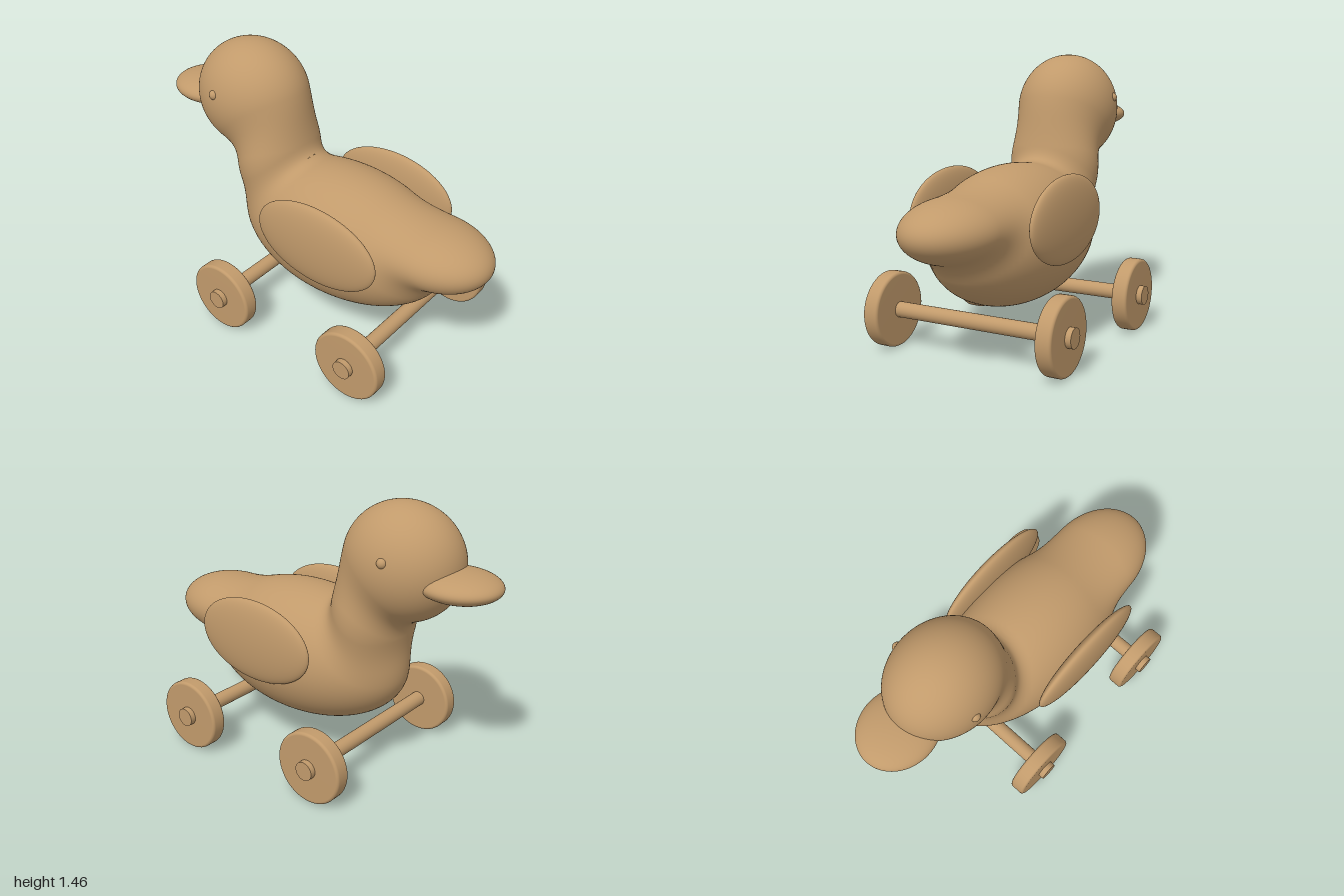
import * as THREE from 'three';

// Soft-blended ellipsoids: centre and radii
const LUMPS = {
  body: { c: [0.13, 0.56, 0], r: [0.62, 0.36, 0.345] },
  neck: { c: [-0.31, 0.87, 0], r: [0.2, 0.33, 0.25] },
  head: { c: [-0.477, 1.168, 0], r: [0.313, 0.297, 0.267] },
  tail: { c: [0.67, 0.668, 0], r: [0.33, 0.16, 0.247] },
};
const BLEND = 0.09;

function ellipsoidDistance(p, { c, r }) {
  const d = [p.x - c[0], p.y - c[1], p.z - c[2]];
  const k0 = Math.hypot(d[0] / r[0], d[1] / r[1], d[2] / r[2]);
  const k1 = Math.hypot(d[0] / r[0] ** 2, d[1] / r[1] ** 2, d[2] / r[2] ** 2);
  return (k0 * (k0 - 1)) / Math.max(k1, 1e-6);
}

// Smooth union of all lumps, giving the fillets at the joints
function field(p) {
  return Object.values(LUMPS).map((l) => ellipsoidDistance(p, l)).reduce((a, b) => {
    const h = Math.max(BLEND - Math.abs(a - b), 0);
    return Math.min(a, b) - (h * h) / (4 * BLEND);
  });
}

function gradient(p) {
  const e = 0.001;
  const g = new THREE.Vector3();
  for (const axis of ['x', 'y', 'z']) {
    const a = p.clone(), b = p.clone();
    a[axis] += e;
    b[axis] -= e;
    g[axis] = (field(a) - field(b)) / (2 * e);
  }
  return g;
}

// Ellipsoid whose exposed vertices are pulled onto the blended surface
function blendedLump({ c, r }) {
  const geo = new THREE.SphereGeometry(1, 96, 64);
  geo.scale(...r).translate(...c);
  const pos = geo.attributes.position, nor = geo.attributes.normal;
  const p = new THREE.Vector3();
  for (let i = 0; i < pos.count; i++) {
    p.fromBufferAttribute(pos, i);
    if (field(p) < -0.07) continue; // buried inside a neighbour
    for (let k = 0; k < 5; k++) {
      const g = gradient(p);
      p.addScaledVector(g, -field(p) / Math.max(g.lengthSq(), 0.2));
    }
    const n = gradient(p).normalize();
    pos.setXYZ(i, p.x, p.y, p.z);
    nor.setXYZ(i, n.x, n.y, n.z);
  }
  return geo;
}

export function createModel() {
  const group = new THREE.Group();
  const wood = new THREE.MeshStandardMaterial({ color: 0xc19a6b });
  wood.name = 'wood';

  const add = (name, geo, x = 0, y = 0, z = 0) => {
    const mesh = new THREE.Mesh(geo, wood);
    mesh.name = name;
    mesh.position.set(x, y, z);
    group.add(mesh);
    return mesh;
  };
  const ellipsoid = (rx, ry, rz) => new THREE.SphereGeometry(1, 64, 40).scale(rx, ry, rz);

  // Body, neck, head and tail
  for (const [name, lump] of Object.entries(LUMPS)) add(name, blendedLump(lump));

  // Beak
  add('beak', ellipsoid(0.215, 0.073, 0.19), -0.785, 1.12, 0);

  // Eyes and wings
  for (const [side, s] of [['left', 1], ['right', -1]]) {
    add(side + 'Eye', new THREE.SphereGeometry(0.026, 24, 16), -0.525, 1.232, s * 0.247);
    add(side + 'Wing', ellipsoid(0.367, 0.221, 0.056), 0.207, 0.672, s * 0.336);
  }

  // Wheel: disc with softly rounded rims
  const R = 0.192, H = 0.042, B = 0.015;
  const profile = [new THREE.Vector2(0, -H)];
  for (const [cy, start] of [[-H + B, -Math.PI / 2], [H - B, 0]]) {
    for (let i = 0; i <= 5; i++) {
      const a = start + (i / 5) * (Math.PI / 2);
      profile.push(new THREE.Vector2(R - B + B * Math.cos(a), cy + B * Math.sin(a)));
    }
  }
  profile.push(new THREE.Vector2(0, H));
  const wheel = new THREE.LatheGeometry(profile, 64).rotateX(Math.PI / 2);
  const axle = new THREE.CylinderGeometry(0.04, 0.04, 1, 32).rotateX(Math.PI / 2);
  const hub = new THREE.CylinderGeometry(0.05, 0.05, 0.1, 32).rotateX(Math.PI / 2);

  // Axles, wheels and hub caps
  for (const [end, x] of [['front', -0.305], ['rear', 0.54]]) {
    add(end + 'Axle', axle, x, 0.194, 0);
    for (const [side, s] of [['Left', 1], ['Right', -1]]) {
      add(end + side + 'Wheel', wheel, x, 0.194, s * 0.478);
      add(end + side + 'Hub', hub, x, 0.194, s * 0.5);
    }
  }
  return group;
}
